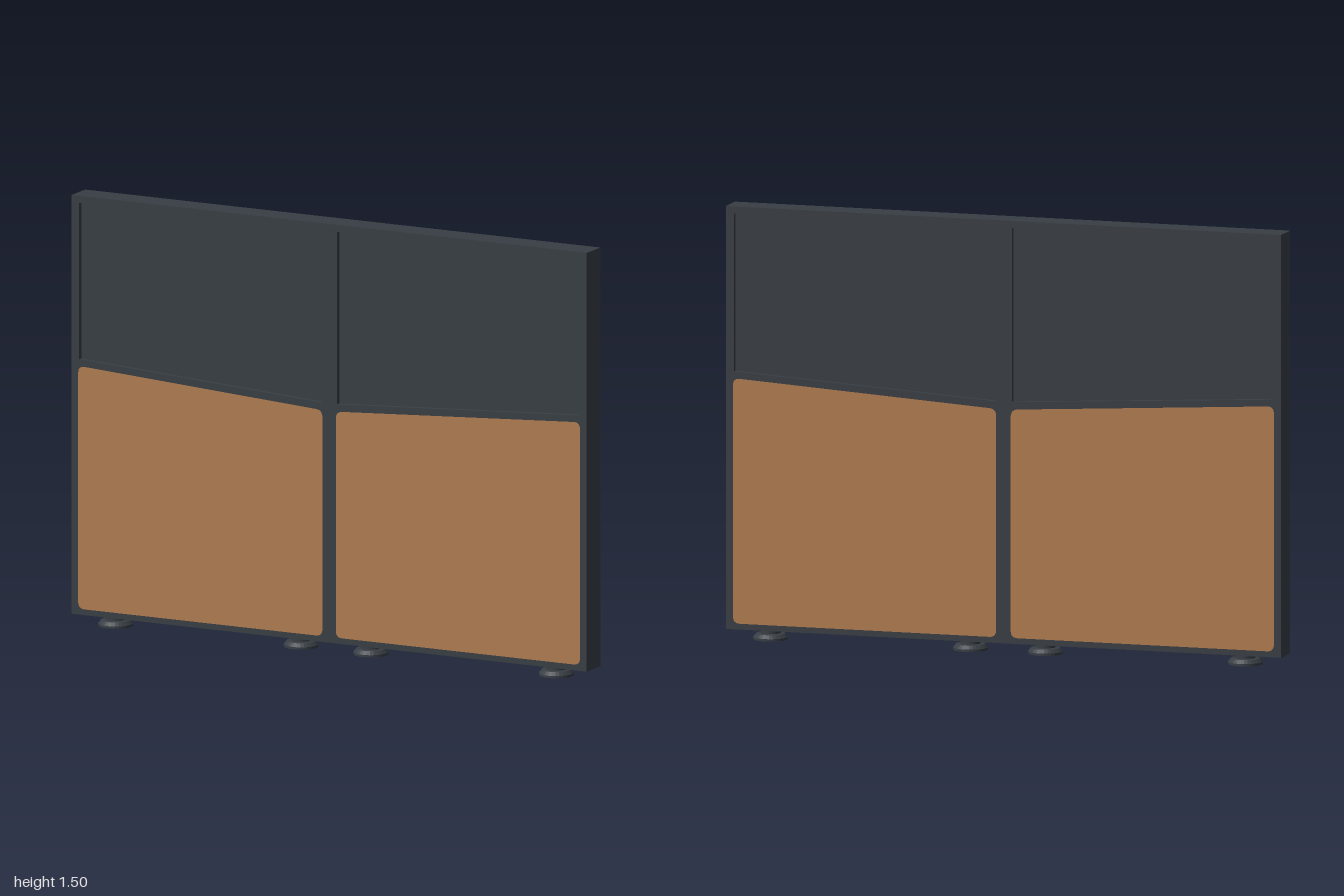
import * as THREE from 'three';

const frameMat = new THREE.MeshStandardMaterial({ color: 0x383e44 });
frameMat.name = 'anthracite frame';
const woodMat = new THREE.MeshStandardMaterial({ color: 0xb17c50 });
woodMat.name = 'warm wood';

// Closed outline through the points, with corners rounded by radius r
function outline(points, r = 0) {
  const shape = new THREE.Shape();
  const p = points.map(([x, y]) => new THREE.Vector2(x, y));
  p.forEach((c, i) => {
    const prev = p[(i + p.length - 1) % p.length];
    const next = p[(i + 1) % p.length];
    const a = c.clone().add(prev.clone().sub(c).setLength(r));
    const b = c.clone().add(next.clone().sub(c).setLength(r));
    if (i === 0) shape.moveTo(a.x, a.y);
    else shape.lineTo(a.x, a.y);
    if (r > 0) shape.quadraticCurveTo(c.x, c.y, b.x, b.y);
  });
  shape.closePath();
  return shape;
}

// Slab of the given depth, centred on z = 0
function slab(name, shape, depth, material) {
  const geo = new THREE.ExtrudeGeometry(shape, { depth, bevelEnabled: false, curveSegments: 6 });
  geo.translate(0, 0, -depth / 2);
  const mesh = new THREE.Mesh(geo, material);
  mesh.name = name;
  return mesh;
}

export function createModel() {
  const model = new THREE.Group();
  model.name = 'partitionScreen';

  // Openings of one bay, mirrored by s
  const upper = s => [[s * 0.03, 0.872], [s * 0.97, 0.928], [s * 0.97, 1.475], [s * 0.03, 1.475]];
  const lower = s => [[s * 0.026, 0.055], [s * 0.974, 0.055], [s * 0.974, 0.905], [s * 0.026, 0.846]];

  // Frame with four openings
  const frame = outline([[-1, 0.035], [1, 0.035], [1, 1.5], [-1, 1.5]]);
  for (const s of [-1, 1]) frame.holes.push(outline(upper(s)), outline(lower(s), 0.025));
  model.add(slab('frame', frame, 0.1, frameMat));

  // Foot: wide pad with a narrow neck
  const footProfile = [[0, 0], [0.06, 0], [0.06, 0.008], [0.05, 0.02], [0.035, 0.022], [0.035, 0.036]]
    .map(([x, y]) => new THREE.Vector2(x, y));
  const footGeo = new THREE.LatheGeometry(footProfile, 28).toNonIndexed();
  footGeo.computeVertexNormals();

  for (const s of [-1, 1]) {
    const side = s > 0 ? 'left' : 'right';
    // Recessed upper panel and flush lower panel
    model.add(slab(side + 'UpperPanel', outline(upper(s)), 0.064, frameMat));
    model.add(slab(side + 'LowerPanel', outline(lower(s), 0.025), 0.1, woodMat));

    for (const [label, x] of [['Inner', 0.135], ['Outer', 0.855]]) {
      const foot = new THREE.Mesh(footGeo, frameMat);
      foot.name = side + label + 'Foot';
      foot.position.x = s * x;
      model.add(foot);
    }
  }
  return model;
}
